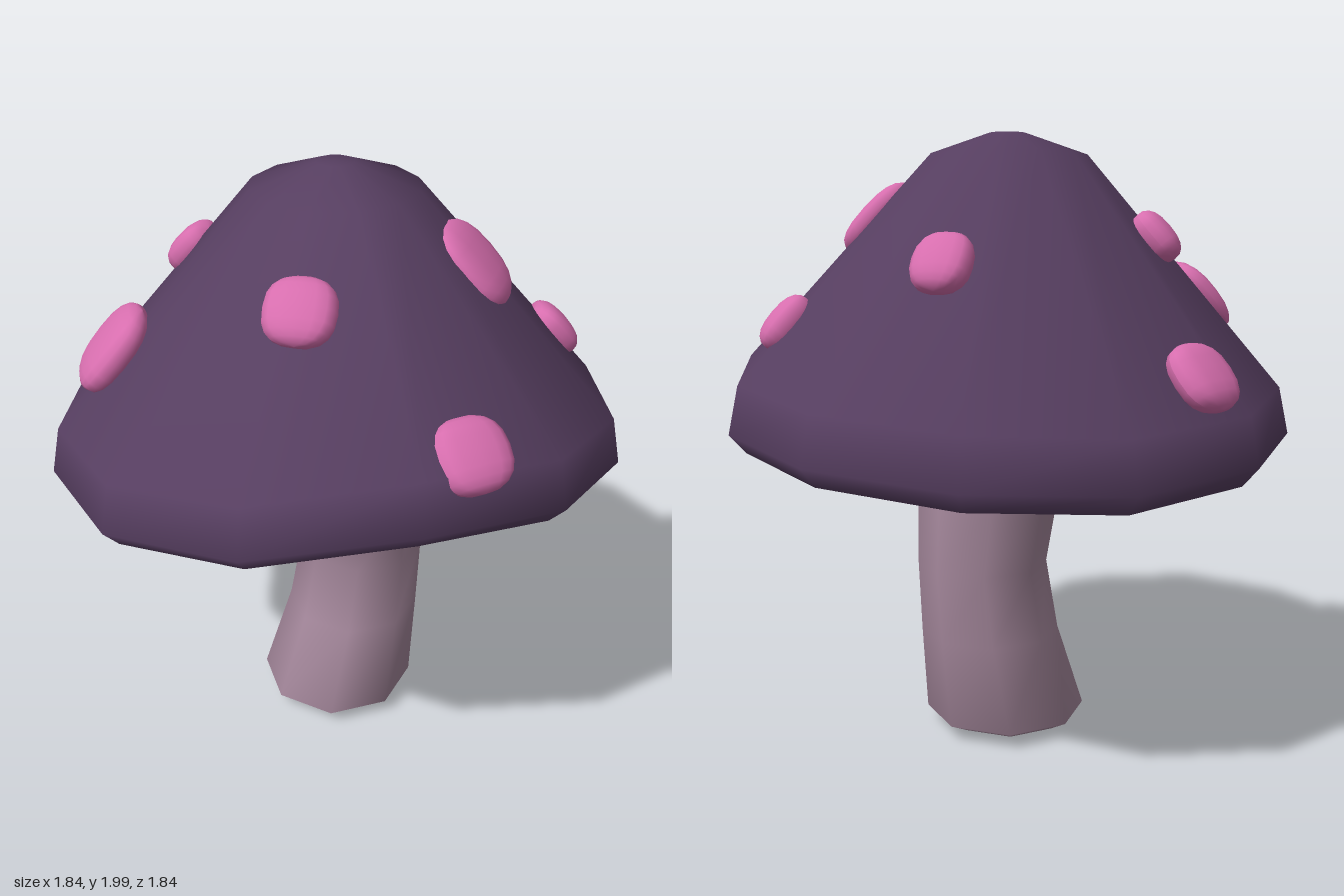
import * as THREE from 'three';

// Skins a stack of closed rings with smooth shading; rings run bottom to top.
function loft(rings) {
  const n = rings[0].length, pos = [], index = [];
  rings.forEach(ring => ring.forEach(p => pos.push(...p)));
  for (let r = 0; r < rings.length - 1; r++) {
    for (let i = 0; i < n; i++) {
      const a = r * n + i, b = r * n + (i + 1) % n;
      index.push(a, a + n, b, b, a + n, b + n);
    }
  }
  const g = new THREE.BufferGeometry();
  g.setAttribute('position', new THREE.Float32BufferAttribute(pos, 3));
  g.setIndex(index);
  g.computeVertexNormals();
  return g;
}

// One ring of points; radius and height may vary per corner.
function ring(n, radius, height, cx = 0, start = 0) {
  return Array.from({ length: n }, (_, i) => {
    const a = start + i / n * Math.PI * 2, r = radius(i);
    return [cx + r * Math.cos(a), height(i), r * Math.sin(a)];
  });
}

// Unit pebble: a sphere pushed slightly towards a cube.
function pebble() {
  const g = new THREE.SphereGeometry(1, 16, 10);
  const p = g.attributes.position;
  const puff = v => Math.sign(v) * Math.abs(v) ** 0.8;
  for (let i = 0; i < p.count; i++) {
    p.setXYZ(i, puff(p.getX(i)), puff(p.getY(i)), puff(p.getZ(i)));
  }
  g.computeVertexNormals();
  return g;
}

export function createModel() {
  const group = new THREE.Group();
  const capPurple = new THREE.MeshStandardMaterial({ color: 0x563e60 });
  const stemMauve = new THREE.MeshStandardMaterial({ color: 0xa5889c });
  const spotPink = new THREE.MeshStandardMaterial({ color: 0xd76eae });
  capPurple.name = 'capPurple';
  stemMauve.name = 'stemMauve';
  spotPink.name = 'spotPink';

  const add = (name, geometry, material, parent = group) => {
    const mesh = new THREE.Mesh(geometry, material);
    mesh.name = name;
    parent.add(mesh);
    return mesh;
  };

  // Rim height falls away on both sides of the lifted front corner (corner 4)
  const fall = [1.235, 1.155, 1.06, 1.01, 0.98, 0.95, 0.93];
  const rim = i => {
    const d = Math.abs(i - 4);
    return fall[Math.min(d, 12 - d)];
  };
  // The two lifted corners also flare out a little
  const start = -4 * Math.PI / 180;
  const capRing = (r, h) => ring(12, i => (i === 4 || i === 5 ? r * 1.018 : r), h, 0, start);

  // Cap: rolled rim, sloping side and blunt crown
  add('cap', loft([
    capRing(0.87, rim),
    capRing(0.922, i => rim(i) + 0.06),
    capRing(0.89, i => rim(i) + 0.21),
    capRing(0.26, () => 1.93),
    capRing(0.06, () => 2),
    capRing(0, () => 2),
  ]), capPurple);

  // Underside: nearly flat, with a narrow lip inside the rim
  add('underside', loft([
    capRing(0, () => 1.09),
    capRing(0.84, i => rim(i) + 0.025),
    capRing(0.87, rim),
  ]), spotPink);

  // Bent eight-sided stem: [height, centre x, radius]
  const stemRings = [
    [0.008, 0, 0], [0.02, 0, 0.2], [0.06, 0.01, 0.27], [0.36, 0.088, 0.23],
    [0.6, 0.124, 0.214], [0.83, 0.092, 0.234], [1.12, 0.025, 0.28], [1.2, 0.01, 0.27],
  ];
  add('stem', loft(stemRings.map(([y, x, r]) => ring(8, () => r, () => y, x))), stemMauve);

  // Spots: [x, y, z, half width, half height along the slope, upward tilt]
  const spots = new THREE.Group();
  spots.name = 'spots';
  group.add(spots);
  const spotShape = pebble();
  const spotList = [
    [0.06, 1.275, -0.80, 0.112, 0.112, 0.66],
    [-0.61, 1.465, -0.33, 0.135, 0.15, 0.66],
    [-0.23, 1.67, -0.43, 0.088, 0.092, 0.66],
    [0.51, 1.595, -0.21, 0.092, 0.102, 0.66],
    [-0.385, 1.735, 0.31, 0.105, 0.102, 0.76],
    [0.23, 1.73, 0.36, 0.138, 0.148, 0.7],
    [0.63, 1.405, 0.36, 0.085, 0.1, 0.66],
    [-0.21, 1.445, 0.80, 0.115, 0.108, 0.75],
  ];
  for (const [x, y, z, w, h, up] of spotList) {
    const spot = add('spot', spotShape, spotPink, spots);
    const r = Math.hypot(x, z), out = Math.sqrt(1 - up * up);
    spot.position.set(x, y, z);
    spot.lookAt(x + x / r * out, y + up, z + z / r * out);
    spot.scale.set(w, h, 0.055);
  }
  return group;
}
